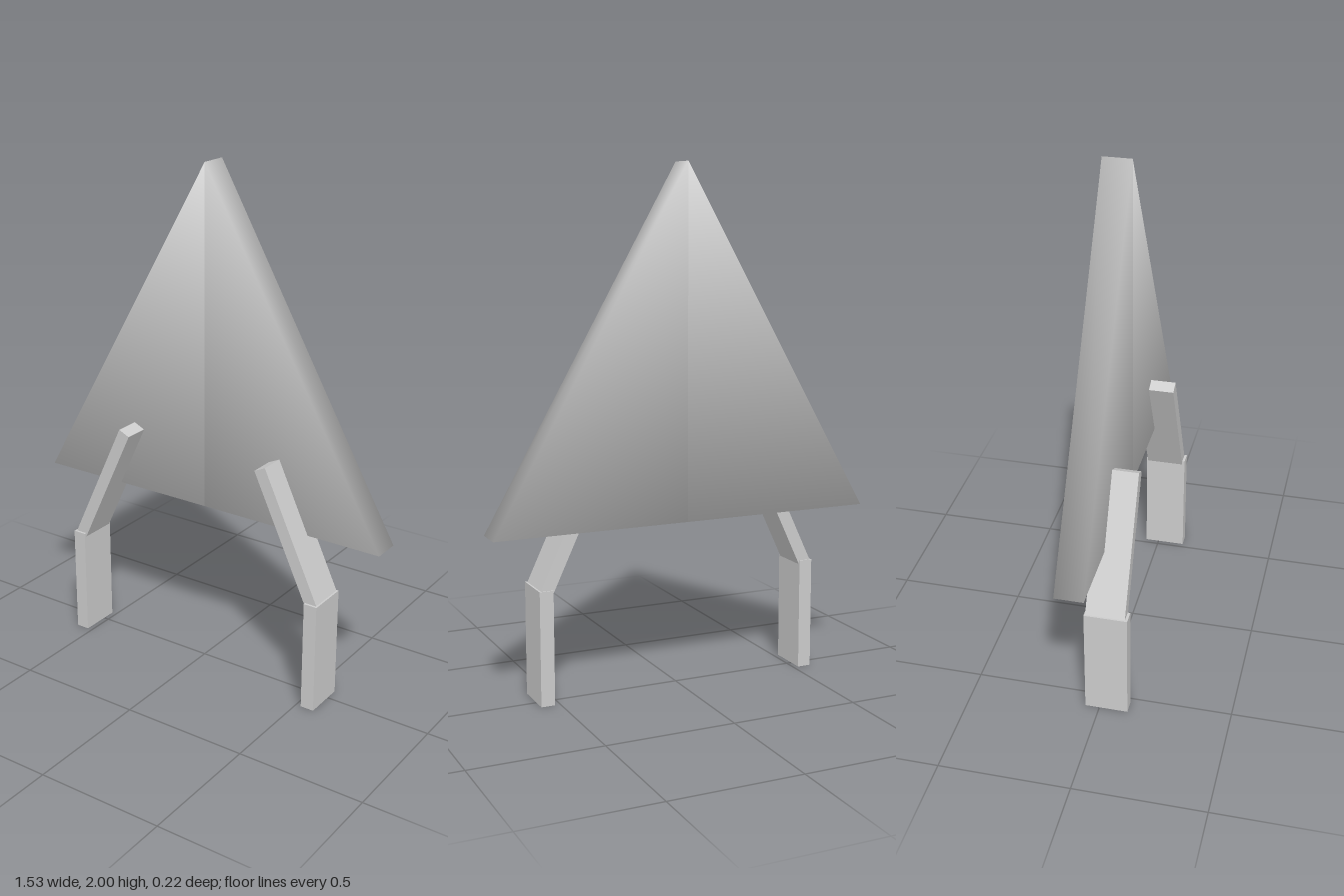
import * as THREE from 'three';

const DEPTH = 0.11;
const material = new THREE.MeshStandardMaterial({ color: 0xcccccc });

// Half of the triangular panel: a right-angled wedge with soft normals,
// each corner averaging its adjoining faces weighted by their angle
function halfPanel(side) {
  const corners = [[0, 0.66], [0.765, 0.66], [0, 2]].map(([x, y]) => new THREE.Vector2(x, y));
  const edge = (i) => corners[(i + 1) % 3].clone().sub(corners[i % 3]).normalize();
  const outward = (i) => { const e = edge(i); return new THREE.Vector2(e.y, -e.x); };

  const positions = [], normals = [], index = [];
  for (const face of [1, -1]) {
    corners.forEach((c, i) => {
      const angle = Math.acos(-edge(i).dot(edge(i + 2)));
      const sum = outward(i).add(outward(i + 2)).multiplyScalar(Math.PI / 2);
      const n = new THREE.Vector3(sum.x * side, sum.y, angle * face).normalize();
      positions.push(c.x * side, c.y, face > 0 ? 0 : -DEPTH);
      normals.push(n.x, n.y, n.z);
    });
  }
  const tri = (a, b, c) => index.push(...(side > 0 ? [a, b, c] : [a, c, b]));
  tri(0, 1, 2);
  tri(3, 5, 4);
  for (let i = 0; i < 3; i++) {
    const j = (i + 1) % 3;
    tri(i, i + 3, j + 3);
    tri(i, j + 3, j);
  }
  const geometry = new THREE.BufferGeometry();
  geometry.setAttribute('position', new THREE.Float32BufferAttribute(positions, 3));
  geometry.setAttribute('normal', new THREE.Float32BufferAttribute(normals, 3));
  geometry.setIndex(index);
  return new THREE.Mesh(geometry, material);
}

// Square-edged bar running between two points in the xy plane
function bar(name, [x1, y1], [x2, y2], width, z1, z2) {
  const length = Math.hypot(x2 - x1, y2 - y1);
  const mesh = new THREE.Mesh(new THREE.BoxGeometry(width, length, z2 - z1), material);
  mesh.position.set((x1 + x2) / 2, (y1 + y2) / 2, (z1 + z2) / 2);
  mesh.rotation.z = Math.atan2(x1 - x2, y2 - y1);
  mesh.name = name;
  return mesh;
}

export function createModel() {
  const model = new THREE.Group();
  model.name = 'panelOnLegs';

  for (const [label, side] of [['left', 1], ['right', -1]]) {
    const panel = halfPanel(side);
    panel.name = label + 'Panel';

    // Bent leg: slanted upper bar and upright lower bar
    const leg = new THREE.Group();
    leg.name = label + 'Leg';
    leg.add(
      bar('upperLeg', [side * 0.546, 0.43], [side * 0.313, 0.926], 0.05, -0.05, 0.1),
      bar('lowerLeg', [side * 0.548, 0], [side * 0.548, 0.44], 0.054, -0.055, 0.11)
    );
    model.add(panel, leg);
  }
  return model;
}
